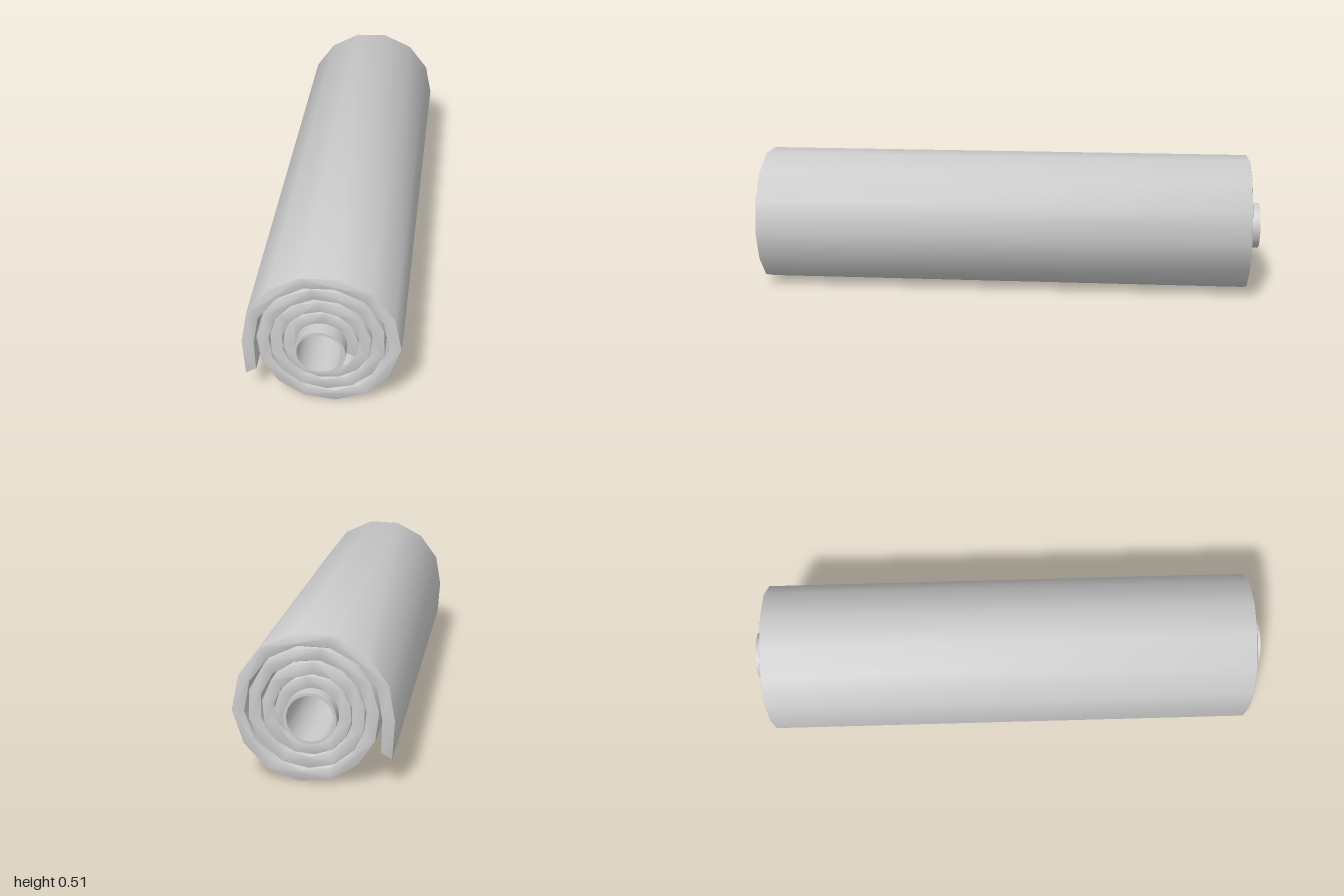
import * as THREE from 'three';
import { toCreasedNormals } from 'three/addons/utils/BufferGeometryUtils.js';

const CENTRE_Y = 0.242;
const THICKNESS = 0.043;

// Outer radius of the rolled sheet by winding angle: [degrees, radius]
const PROFILE = [
  [210, 0.304], [183, 0.274], [102, 0.277], [51, 0.278], [26, 0.275], [0, 0.272],
  [-24, 0.263], [-50, 0.257], [-77, 0.247], [-103, 0.239], [-130, 0.231],
  [-158, 0.226], [-185, 0.222], [-230, 0.224], [-266, 0.229], [-320, 0.228],
  [-347, 0.222], [-442, 0.195], [-540, 0.176], [-634, 0.179], [-720, 0.172],
  [-800, 0.146], [-900, 0.131], [-994, 0.131], [-1110, 0.127],
];

function radiusAt(angle) {
  const i = Math.max(1, PROFILE.findIndex(([a]) => a <= angle));
  const [a0, r0] = PROFILE[i - 1];
  const [a1, r1] = PROFILE[i];
  return r0 + (r1 - r0) * (angle - a0) / (a1 - a0);
}

function polar(angle, radius) {
  const t = THREE.MathUtils.degToRad(angle);
  return new THREE.Vector2(radius * Math.cos(t), radius * Math.sin(t));
}

// Extrudes a shape along z, centred, with smooth sides and sharp rims
function extrudeCentred(shape, length, bevel) {
  const geometry = new THREE.ExtrudeGeometry(shape, {
    depth: length - 2 * bevel,
    curveSegments: 22,
    bevelEnabled: bevel > 0,
    bevelThickness: bevel,
    bevelSize: bevel,
    bevelOffset: -bevel,
    bevelSegments: 2,
  });
  geometry.translate(0, CENTRE_Y, -(length - 2 * bevel) / 2);
  return toCreasedNormals(geometry, 0.65);
}

export function createModel() {
  const group = new THREE.Group();
  const material = new THREE.MeshStandardMaterial({ color: 0xcccccc });

  const add = (name, geometry) => {
    const mesh = new THREE.Mesh(geometry, material);
    mesh.name = name;
    group.add(mesh);
  };

  // Sheet wound in a faceted spiral, its outer end hanging loose
  const outer = [];
  const inner = [];
  for (let i = -1; i <= 49; i++) {
    const angle = 183 - 26.2 * i;
    const r = radiusAt(angle);
    outer.push(polar(angle, r));
    inner.push(polar(angle, r - THICKNESS));
  }
  const sheet = new THREE.Shape([...outer, ...inner.reverse()]);
  add('rolledSheet', extrudeCentred(sheet, 1.9, 0.003));

  // Hollow core tube sticking out at both ends
  const ring = new THREE.Shape().absarc(0, 0, 0.088, 0, Math.PI * 2);
  ring.holes.push(new THREE.Path().absarc(0, 0, 0.078, 0, Math.PI * 2));
  add('coreTube', extrudeCentred(ring, 2, 0));

  return group;
}
